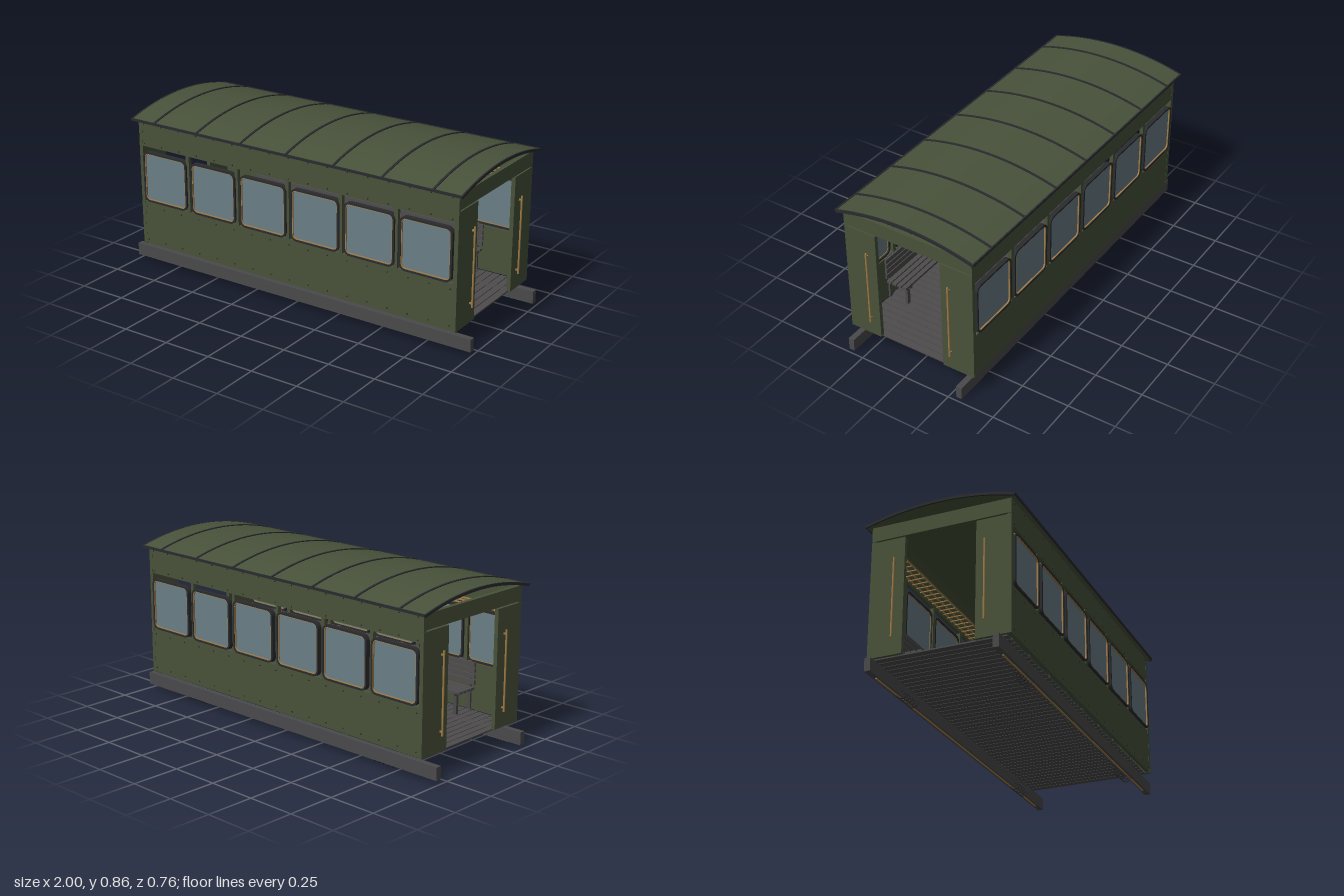
import * as THREE from 'three';

const mat = (name, color, side = THREE.FrontSide) => {
  const m = new THREE.MeshStandardMaterial({ color, side });
  m.name = name;
  return m;
};

export function createModel() {
  const root = new THREE.Group();
  root.name = 'railwayCarriage';
  const olive = mat('olivePaint', 0x48523a);
  const steel = mat('steelGrey', 0x4a494b);
  const dark = mat('darkTrim', 0x2a2b2e);
  const brass = mat('brass', 0xa07d48);
  const glass = mat('glass', 0x6a7e86);
  const wood = mat('greyWood', 0x4e4c4c);

  const add = (name, geo, material, x = 0, y = 0, z = 0, parent = root) => {
    const m = new THREE.Mesh(geo, material);
    m.name = name;
    m.position.set(x, y, z);
    parent.add(m);
    return m;
  };
  // box given by its extents
  const box = (name, material, x0, x1, y0, y1, z0, z1, parent = root) =>
    add(name, new THREE.BoxGeometry(x1 - x0, y1 - y0, z1 - z0), material,
      (x0 + x1) / 2, (y0 + y1) / 2, (z0 + z1) / 2, parent);

  // rounded rectangle outline centred on the origin
  const rounded = (w, h, r, Type = THREE.Shape) => {
    const p = new Type(), a = w / 2, b = h / 2;
    p.moveTo(-a + r, -b);
    p.lineTo(a - r, -b); p.absarc(a - r, -b + r, r, -Math.PI / 2, 0);
    p.lineTo(a, b - r); p.absarc(a - r, b - r, r, 0, Math.PI / 2);
    p.lineTo(-a + r, b); p.absarc(-a + r, b - r, r, Math.PI / 2, Math.PI);
    p.lineTo(-a, -b + r); p.absarc(-a + r, -b + r, r, Math.PI, Math.PI * 1.5);
    return p;
  };
  const ring = (w, h, r, t, depth) => {
    const s = rounded(w, h, r);
    s.holes.push(rounded(w - 2 * t, h - 2 * t, r - t, THREE.Path));
    return new THREE.ExtrudeGeometry(s, { depth, bevelEnabled: false, curveSegments: 6 });
  };
  const frameGeo = ring(0.28, 0.272, 0.034, 0.01, 0.024);
  const beadGeo = ring(0.262, 0.254, 0.026, 0.005, 0.016);
  const paneGeo = new THREE.ExtrudeGeometry(rounded(0.254, 0.246, 0.022),
    { depth: 0.006, bevelEnabled: false, curveSegments: 6 });
  const rivetGeo = new THREE.SphereGeometry(0.004, 6, 4);

  // coil spring running along x
  const coilPoints = [];
  for (let i = 0; i <= 80; i++) {
    const a = (i / 16) * Math.PI * 2;
    coilPoints.push(new THREE.Vector3(-0.07 + 0.14 * i / 80, Math.sin(a) * 0.0225, Math.cos(a) * 0.0225));
  }
  const coilGeo = new THREE.TubeGeometry(new THREE.CatmullRomCurve3(coilPoints), 100, 0.003, 6);

  // one long side with everything attached to it; turned round for the other side
  const buildSide = (name, flip) => {
    const g = new THREE.Group();
    g.name = name;
    box('lowerWall', olive, -0.93, 0.93, 0.12, 0.358, 0.333, 0.353, g);
    box('upperWall', olive, -0.93, 0.93, 0.658, 0.793, 0.333, 0.353, g);
    for (let i = 0; i < 6; i++) {
      const x = (i - 2.5) * 0.307;
      add('windowFrame', frameGeo, dark, x, 0.497, 0.338, g);
      add('windowBead', beadGeo, brass, x, 0.497, 0.344, g);
      add('windowPane', paneGeo, glass, x, 0.497, 0.347, g);
      if (i < 5) {
        const px = x + 0.1535 - 0.01 * flip;
        box('pillar', olive, px - 0.01, px + 0.01, 0.355, 0.66, 0.333, 0.353, g);
      }
    }
    // rivet rows
    for (const y of [0.145, 0.33, 0.672, 0.778])
      for (let i = 0; i < 17; i++)
        add('rivet', rivetGeo, dark, -0.9 + i * 0.1125, y, 0.354, g);

    // chassis rail, pipe and springs
    box('chassisRail', steel, -1, 1, 0.025, 0.09, 0.297, 0.327, g);
    box('brakePipe', brass, -0.92, 0.92, 0.02, 0.026, 0.306, 0.314, g);
    for (const s of [-1, 1]) add('spring', coilGeo, dark, s * 0.65, 0.027, 0.288, g);

    // long slatted bench
    for (let i = 0; i < 4; i++) {
      const z = 0.2 + i * 0.03;
      box('benchSeatSlat', wood, -0.7, 0.7, 0.232, 0.244, z, z + 0.024, g);
      const y = 0.255 + i * 0.03;
      box('benchBackSlat', wood, -0.7, 0.7, y, y + 0.024, 0.312, 0.322, g);
    }
    for (const x of [-0.66, -0.22, 0.22, 0.66]) {
      box('benchLeg', steel, x - 0.01, x + 0.01, 0.12, 0.232, 0.215, 0.23, g);
      box('benchBracket', steel, x - 0.01, x + 0.01, 0.22, 0.232, 0.2, 0.32, g);
      box('benchPost', steel, x - 0.01, x + 0.01, 0.12, 0.37, 0.322, 0.332, g);
    }

    // luggage rack
    for (const z of [0.25, 0.29, 0.328])
      box('rackRail', brass, -0.86, 0.86, 0.675, 0.682, z - 0.003, z + 0.003, g);
    for (let i = 0; i <= 40; i++) {
      const x = -0.86 + i * 0.043;
      box('rackBar', brass, x - 0.003, x + 0.003, 0.671, 0.676, 0.248, 0.333, g);
    }
    if (flip < 0) g.rotation.y = Math.PI;
    root.add(g);
  };
  buildSide('frontSide', 1);
  buildSide('backSide', -1);

  // end walls with open doorways and brass handrails
  for (const s of [-1, 1]) {
    const end = new THREE.Group();
    end.name = s > 0 ? 'leftEnd' : 'rightEnd';
    box('doorHeader', olive, 0.912, 0.933, 0.719, 0.794, -0.354, 0.354, end);
    for (const q of [-1, 1]) {
      const z = q * 0.267;
      box('endPanel', olive, 0.912, 0.933, 0.118, 0.712, z - 0.087, z + 0.087, end);
      add('handrail', new THREE.CylinderGeometry(0.005, 0.005, 0.405, 8), brass, 0.947, 0.4025, q * 0.228, end);
      for (const y of [0.22, 0.585])
        box('handrailMount', brass, 0.932, 0.947, y - 0.004, y + 0.004, q * 0.228 - 0.004, q * 0.228 + 0.004, end);
      box('cornerPost', olive, 0.912, 0.93, 0.355, 0.72, q * 0.343 - 0.01, q * 0.343 + 0.01, end);
    }
    if (s < 0) end.rotation.y = Math.PI;
    root.add(end);
  }

  // floor planks laid across the carriage
  for (let i = 0; i < 46; i++) {
    const x = -0.92 + i * 0.04;
    box('floorPlank', wood, x + 0.002, x + 0.038, 0.112, 0.119, -0.33, 0.33);
  }
  for (const z of [-0.2, 0.2]) box('floorBearer', steel, -0.92, 0.92, 0.115, 0.118, z - 0.02, z + 0.02);

  // curved roof: arc through the ridge and both eaves
  const rise = 0.054, half = 0.377;
  const radius = (half * half + rise * rise) / (2 * rise), cy = 0.855 - radius;
  const sweep = Math.asin(half / radius);
  const arcSlab = (outer, inner, length, ang) => {
    const s = new THREE.Shape();
    s.absarc(0, 0, outer, Math.PI / 2 - ang, Math.PI / 2 + ang, false);
    s.absarc(0, 0, inner, Math.PI / 2 + ang, Math.PI / 2 - ang, true);
    const geo = new THREE.ExtrudeGeometry(s, { depth: length, bevelEnabled: false, curveSegments: 32 });
    geo.translate(0, 0, -length / 2);
    geo.rotateY(Math.PI / 2);
    return geo;
  };
  add('roof', arcSlab(radius, radius - 0.011, 1.912, sweep), olive, 0, cy, 0);
  const ribGeo = arcSlab(radius + 0.004, radius - 0.002, 0.012, sweep);
  for (let i = -3; i <= 3; i++) add('roofRib', ribGeo, dark, i * 0.27, cy, 0);
  const endGeo = arcSlab(radius + 0.001, radius - 0.013, 0.008, sweep);
  for (const s of [-1, 1]) {
    add('roofEndTrim', endGeo, dark, s * 0.955, cy, 0);
    box('roofEdgeTrim', dark, -0.958, 0.958, 0.792, 0.804, s * 0.377 - 0.004, s * 0.377 + 0.004);
  }
  return root;
}
